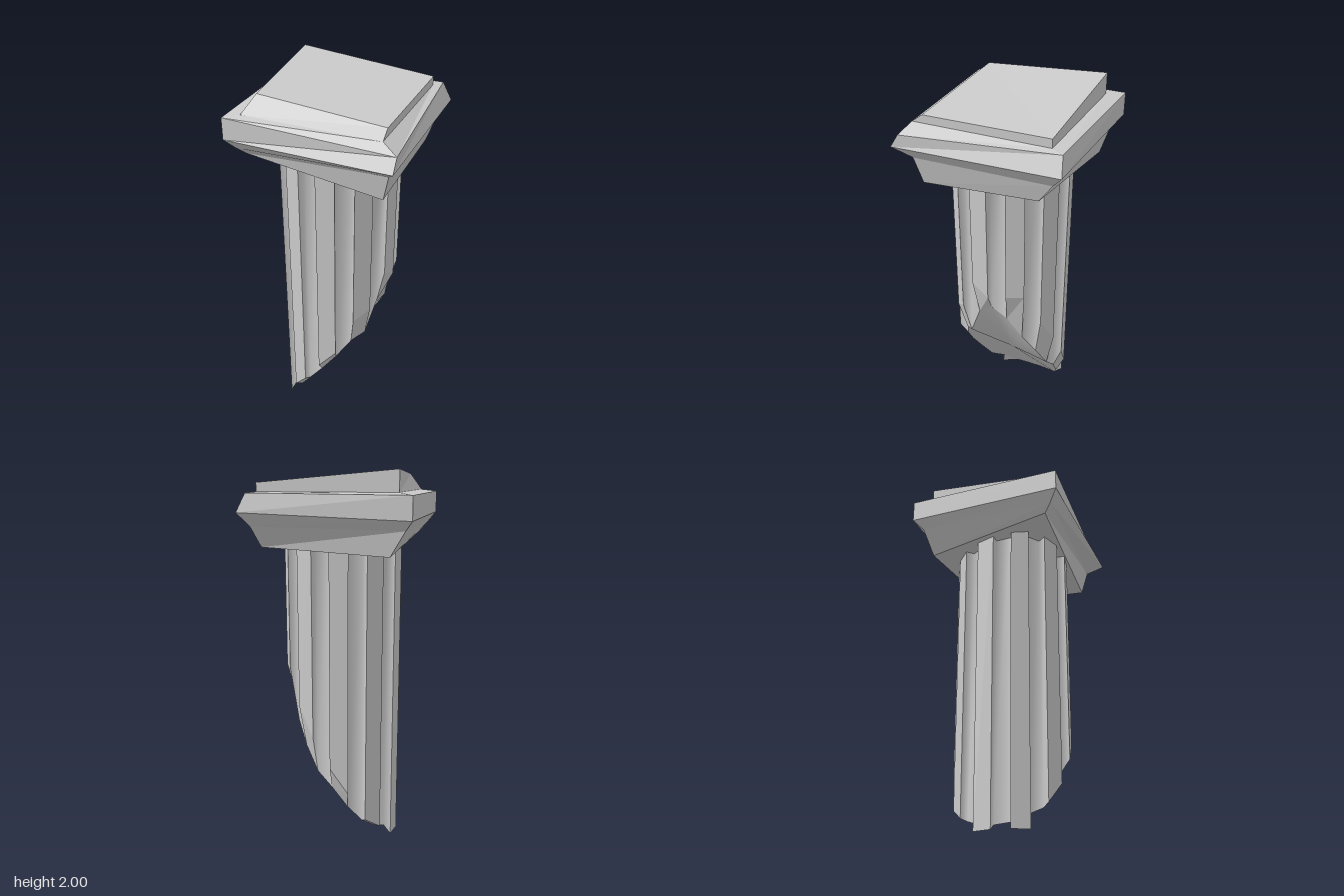
import * as THREE from 'three';

const material = new THREE.MeshStandardMaterial({ color: 0xcccccc });
const flat = new THREE.MeshStandardMaterial({ color: 0xcccccc, flatShading: true });

const SHAFT_TOP = 1.7, OUTER = 0.316, CORE = 0.265, STEP = Math.PI / 10;
// heights of the broken end every 18 degrees, from +x towards +z
const coreY = [0.84, 0.78, 0.6, 0.56, 0.45, 0.34, 0.23, 0.12, 0.08, 0.04,
  0.03, 0.04, 0.07, 0.12, 0.21, 0.32, 0.4, 0.53, 0.65, 0.78];
const ridgeY = [0.93, 0.99, 0.79, 0.73, 0.51, 0.4, 0.25, 0.14, 0, 0,
  0, 0, 0.08, 0.14, 0.3, 0.44, 0.6, 0.76, 0.95, 0.95];

function meshFrom(points, index, name, mat) {
  let geo = new THREE.BufferGeometry();
  geo.setAttribute('position', new THREE.Float32BufferAttribute(points.flat(), 3));
  geo.setIndex(index);
  if (mat.flatShading) geo = geo.toNonIndexed();
  geo.computeVertexNormals();
  const mesh = new THREE.Mesh(geo, mat);
  mesh.name = name;
  return mesh;
}

// point on the shaft, with a slight narrowing towards the bottom
function at(i, radius, y) {
  const r = radius - (radius === OUTER ? 0.008 * (1 - y / SHAFT_TOP) : 0);
  return [r * Math.cos(i * STEP), y, r * Math.sin(i * STEP)];
}

// rows of points, each row running upwards, joined side by side
function strip(rows, name, mat) {
  const n = rows[0].length, index = [];
  for (let i = 0; i < rows.length - 1; i++) {
    for (let j = 0; j < n - 1; j++) {
      const a = i * n + j, b = a + n;
      index.push(b, a, a + 1, b, a + 1, b + 1);
    }
  }
  return meshFrom(rows.flat(), index, name, mat);
}

function createShaft() {
  const shaft = new THREE.Group();
  shaft.name = 'flutedShaft';
  for (let k = 0; k < 20; k += 2) {
    const low = (i, r) => at(i, r, (r === OUTER ? ridgeY : coreY)[i % 20]);
    const high = (i, r) => at(i, r, SHAFT_TOP);
    // ridge with its chipped lower end
    const ridge = [k, k + 1].map(i => [low(i, CORE), low(i, OUTER), high(i, OUTER)]);
    shaft.add(strip(ridge, 'ridge', flat));
    // softly shaded groove up to the next ridge
    const groove = [[k + 1, OUTER], [k + 1, CORE], [k + 2, CORE], [k + 2, OUTER]]
      .map(([i, r]) => [low(i, r), high(i, r)]);
    shaft.add(strip(groove, 'groove', material));
  }
  // slanted break across the core
  const points = [[0, 0.37, 0]], index = [];
  for (let i = 0; i < 20; i++) {
    points.push(at(i, CORE, coreY[i]));
    index.push(0, i + 1, (i + 1) % 20 + 1);
  }
  shaft.add(meshFrom(points, index, 'brokenEnd', material));
  return shaft;
}

// worn square capital: rings of four corners, front left side round to the back
function createCapital() {
  const rings = [
    [[-0.37, 1.67, 0.32], [0.355, 1.57, 0.32], [0.36, 1.61, -0.3], [-0.32, 1.58, -0.36]],
    [[-0.4, 1.71, 0.36], [0.39, 1.715, 0.35], [0.39, 1.72, -0.38], [-0.4, 1.71, -0.39]],
    [[-0.44, 1.765, 0.405], [0.44, 1.775, 0.44], [0.44, 1.79, -0.44], [-0.44, 1.76, -0.44]],
    [[-0.44, 1.88, 0.405], [0.44, 1.845, 0.395], [0.395, 1.885, -0.425], [-0.44, 1.88, -0.44]],
    [[-0.362, 1.89, 0.36], [0.36, 1.89, 0.36], [0.36, 1.89, -0.36], [-0.362, 1.89, -0.36]],
    [[-0.312, 1.975, 0.28], [0.36, 1.932, 0.302], [0.36, 1.935, -0.36], [-0.362, 2, -0.36]],
  ];
  const index = [0, 2, 1, 0, 3, 2];
  for (let r = 0; r < rings.length - 1; r++) {
    for (let i = 0; i < 4; i++) {
      const a = r * 4 + i, b = r * 4 + (i + 1) % 4;
      index.push(a, b, b + 4, a, b + 4, a + 4);
    }
  }
  const t = (rings.length - 1) * 4;
  index.push(t, t + 1, t + 2, t, t + 2, t + 3);
  return meshFrom(rings.flat(), index, 'capital', flat);
}

export function createModel() {
  const model = new THREE.Group();
  model.name = 'brokenColumn';
  model.add(createShaft(), createCapital());
  return model;
}
